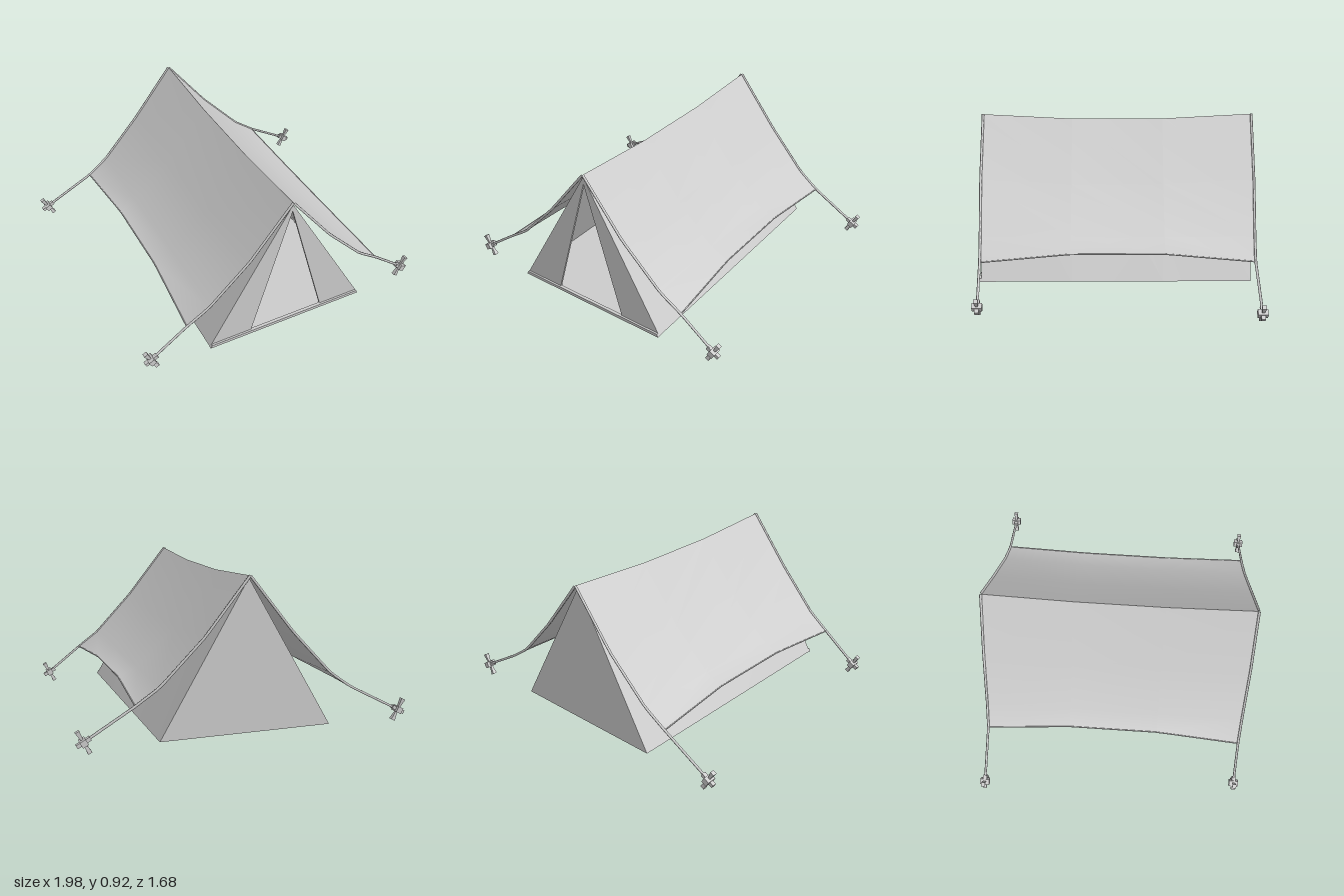
import * as THREE from 'three';

const CX = 0.02; // the ridge line sits slightly off centre
const grey = new THREE.MeshStandardMaterial({ color: 0xcccccc });
const cloth = new THREE.MeshStandardMaterial({ color: 0xcccccc, side: THREE.DoubleSide });
const V = (x, y, z) => new THREE.Vector3(x, y, z);

function add(parent, name, geometry, material = grey) {
  const mesh = new THREE.Mesh(geometry, material);
  mesh.name = name;
  parent.add(mesh);
  return mesh;
}

// Smooth sheet through rows of points, all rows of equal length
function sheet(rows, flip = false) {
  const n = rows[0].length;
  const index = [];
  for (let i = 0; i < rows.length - 1; i++) {
    for (let j = 0; j < n - 1; j++) {
      const a = i * n + j, b = a + 1, c = a + n, d = c + 1;
      if (flip) index.push(a, b, c, b, d, c);
      else index.push(a, c, b, b, c, d);
    }
  }
  const g = new THREE.BufferGeometry().setFromPoints(rows.flat());
  g.setIndex(index);
  g.computeVertexNormals();
  return g;
}

// Round cord through straight segments
function cord(points, radius) {
  const path = new THREE.CurvePath();
  for (let i = 1; i < points.length; i++) path.add(new THREE.LineCurve3(points[i - 1], points[i]));
  return new THREE.TubeGeometry(path, 24, radius, 6, false);
}

// Fly profile from ridge to eave: [distance from ridge, height, inset of the end edge]
const endProfile = [[0, 0.93, 0], [0.26, 0.605, 0], [0.51, 0.345, 0.015], [0.645, 0.25, 0.025]];
const midProfile = [[0, 0.9, 0], [0.26, 0.57, 0], [0.5, 0.335, 0], [0.615, 0.285, 0]];

function flyRow(side, z, end) {
  return (end ? endProfile : midProfile).map(([d, y, inset]) =>
    V(CX + side * d, y, z - Math.sign(z) * inset));
}

function tentPeg() {
  const peg = new THREE.Group();
  peg.name = 'peg';
  // Waisted pin
  const pin = new THREE.LatheGeometry(
    [[0, -0.07], [0.018, -0.07], [0.01, -0.02], [0.01, 0.02], [0.018, 0.07], [0, 0.07]]
      .map(([r, y]) => new THREE.Vector2(r, y)), 4, Math.PI / 4).toNonIndexed();
  pin.computeVertexNormals();
  add(peg, 'pegPin', pin);
  add(peg, 'pegArm', new THREE.BoxGeometry(0.085, 0.022, 0.024));
  add(peg, 'pegKnot', new THREE.BoxGeometry(0.036, 0.036, 0.058));
  return peg;
}

export function createModel() {
  const tent = new THREE.Group();
  tent.name = 'tent';

  // Inner tent
  const inner = new THREE.Group();
  inner.name = 'innerTent';
  tent.add(inner);
  const half = 0.512, base = 0.037, back = -0.81, front = 0.82;
  const ridge = [[back, 0.915], [-0.28, 0.885], [0.28, 0.885], [front, 0.915]];
  for (const side of [1, -1]) {
    const rows = ridge.map(([z, y]) => [V(CX, y, z), V(CX + side * half, base, z)]);
    add(inner, side > 0 ? 'leftWall' : 'rightWall', sheet(rows, side < 0), cloth);
  }
  add(inner, 'floor', sheet([
    [V(CX - half, base, back), V(CX + half, base, back)],
    [V(CX - half, base, front), V(CX + half, base, front)],
  ]), cloth);
  const backWall = new THREE.Shape([
    new THREE.Vector2(-half, base), new THREE.Vector2(half, base), new THREE.Vector2(0, 0.915)]);
  add(inner, 'backWall', new THREE.ShapeGeometry(backWall), cloth).position.set(CX, 0, back);

  // Front panels on both sides of the open doorway
  for (const side of [1, -1]) {
    const panel = new THREE.Shape([[0, 0.915], [0, 0.87], [0.24, 0.05], [0.24, base], [half, base]]
      .map(([x, y]) => new THREE.Vector2(side * x, y)));
    const g = new THREE.ExtrudeGeometry(panel, { depth: 0.012, bevelEnabled: false });
    add(inner, side > 0 ? 'leftDoorPanel' : 'rightDoorPanel', g).position.set(CX, 0, front - 0.004);
  }

  // Sill across the foot of the doorway
  const sill = new THREE.Shape([[-half, 0.034], [half, 0.034], [half - 0.01, 0.054], [-half + 0.01, 0.054]]
    .map(([x, y]) => new THREE.Vector2(x, y)));
  add(inner, 'doorSill', new THREE.ExtrudeGeometry(sill, { depth: 0.02, bevelEnabled: false }))
    .position.set(CX, 0, front);

  // Sagging fly sheet with hemmed eaves
  for (const side of [1, -1]) {
    const label = side > 0 ? 'left' : 'right';
    const rows = [[-0.83, true], [-0.28, false], [0.28, false], [0.83, true]]
      .map(([z, end]) => flyRow(side, z, end));
    add(tent, label + 'FlySheet', sheet(rows, side < 0), cloth);
    add(tent, label + 'EaveHem', cord(rows.map((r) => r[3]), 0.004));
  }

  // Guy ropes along the fly ends, each tied to a tilted peg
  const pegs = [[0.86, 1, 1], [-0.87, -1, 1], [0.93, 1, -1], [-0.965, -1, -1]];
  for (const [x, side, end] of pegs) {
    const foot = V(CX + x, 0.083, end > 0 ? 0.8 : -0.812);
    const rope = [...flyRow(side, end * 0.83, true), foot];
    add(tent, 'guyRope', cord(rope, 0.008));
    const peg = tentPeg();
    peg.position.copy(foot);
    peg.rotation.z = -side * 0.5;
    tent.add(peg);
  }
  return tent;
}
